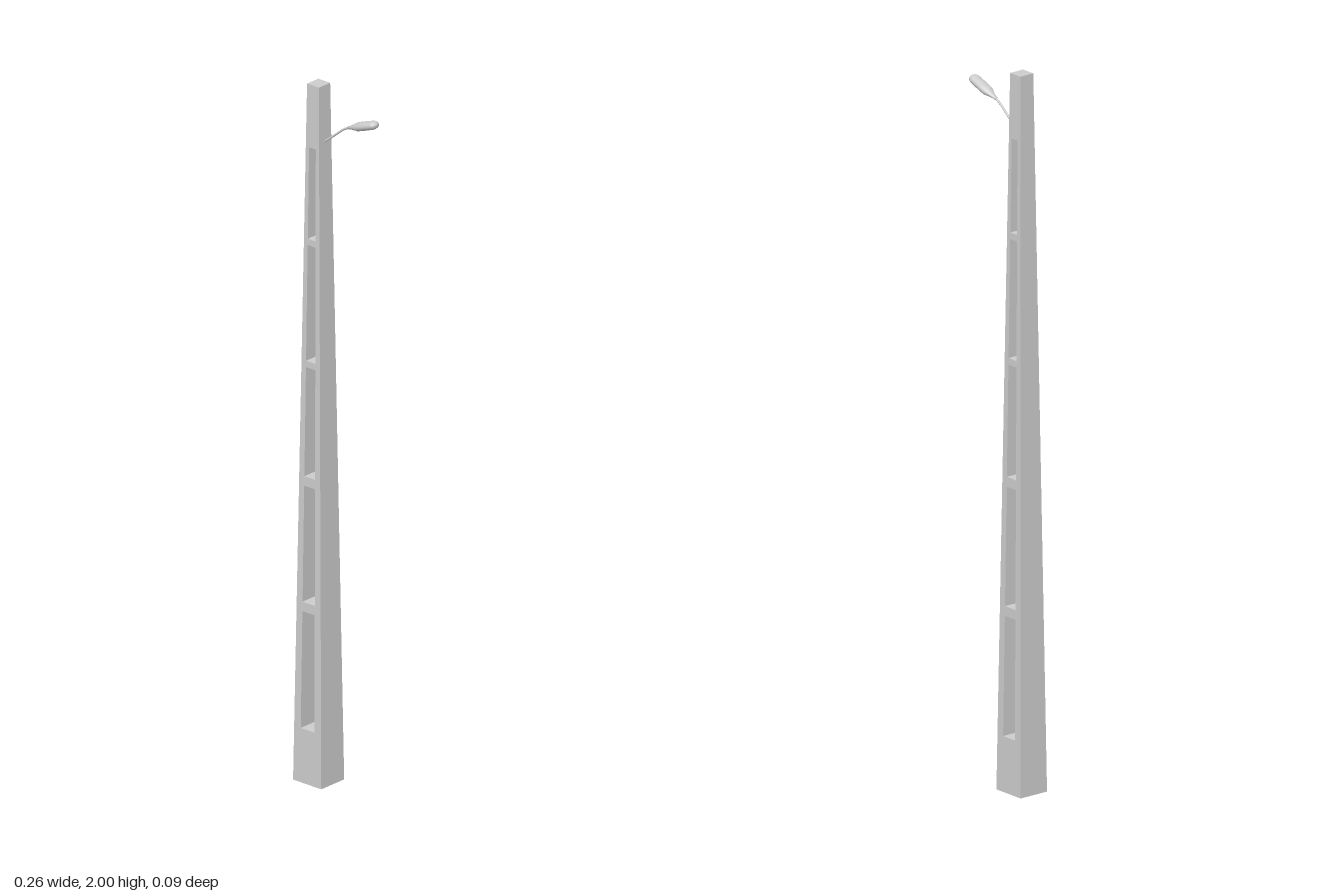
import * as THREE from 'three';

const H = 2, CX = -0.08;
const lerp = THREE.MathUtils.lerp;
const halfX = (y) => lerp(0.05, 0.021, y / H);
const halfZ = (y) => lerp(0.0455, 0.0225, y / H);
const holeHalf = (y) => lerp(0.0255, 0.0105, y / H);

// Tapered quad between two heights
function taper(path, y0, y1, half) {
  path.moveTo(-half(y0), y0);
  path.lineTo(half(y0), y0);
  path.lineTo(half(y1), y1);
  path.lineTo(-half(y1), y1);
  path.closePath();
  return path;
}

function poleGeometry() {
  const shape = taper(new THREE.Shape(), 0, H, halfX);
  const openings = [[0.155, 0.49], [0.517, 0.85], [0.877, 1.19], [1.208, 1.54], [1.558, 1.82]];
  for (const [a, b] of openings) shape.holes.push(taper(new THREE.Path(), a, b, holeHalf));
  const source = new THREE.ExtrudeGeometry(shape, { depth: 2, bevelEnabled: false });

  // Narrow the depth with height and leave the foot open
  const p = source.attributes.position;
  const kept = [];
  for (let i = 0; i < p.count; i += 3) {
    if (p.getY(i) + p.getY(i + 1) + p.getY(i + 2) < 1e-6) continue;
    for (let k = i; k < i + 3; k++) {
      const y = p.getY(k);
      kept.push(p.getX(k), y, (p.getZ(k) - 1) * halfZ(y));
    }
  }
  const geometry = new THREE.BufferGeometry();
  geometry.setAttribute('position', new THREE.Float32BufferAttribute(kept, 3));
  geometry.computeVertexNormals();
  return geometry;
}

export function createModel() {
  const group = new THREE.Group();
  const grey = new THREE.MeshStandardMaterial({ color: 0xcccccc });
  const add = (name, geometry, material = grey) => {
    const mesh = new THREE.Mesh(geometry, material);
    mesh.name = name;
    group.add(mesh);
    return mesh;
  };

  // Tapered concrete pole with five through openings
  const poleMaterial = new THREE.MeshStandardMaterial({
    color: 0xcccccc, flatShading: true, side: THREE.DoubleSide,
  });
  add('pole', poleGeometry(), poleMaterial).position.x = CX;

  // Slender bracket arm
  const arm = new THREE.CatmullRomCurve3([
    new THREE.Vector3(-0.062, 1.836, 0),
    new THREE.Vector3(-0.02, 1.869, 0),
    new THREE.Vector3(0.01, 1.893, 0),
    new THREE.Vector3(0.03, 1.904, 0),
  ]);
  add('lampArm', new THREE.TubeGeometry(arm, 16, 0.003, 8));

  // Lamp head: neck, shoulder, body and rounded tip along its own axis
  const profile = [
    [0, 0], [0.0055, 0], [0.007, 0.01], [0.011, 0.022], [0.0165, 0.037],
    [0.017, 0.06], [0.0165, 0.094], [0.013, 0.102], [0.006, 0.107], [0, 0.108],
  ].map(([r, y]) => new THREE.Vector2(r, y));
  const head = add('lampHead', new THREE.LatheGeometry(profile, 20));
  head.scale.x = 0.72;
  head.rotation.z = THREE.MathUtils.degToRad(-70);
  head.position.set(0.026, 1.902, 0);

  return group;
}
